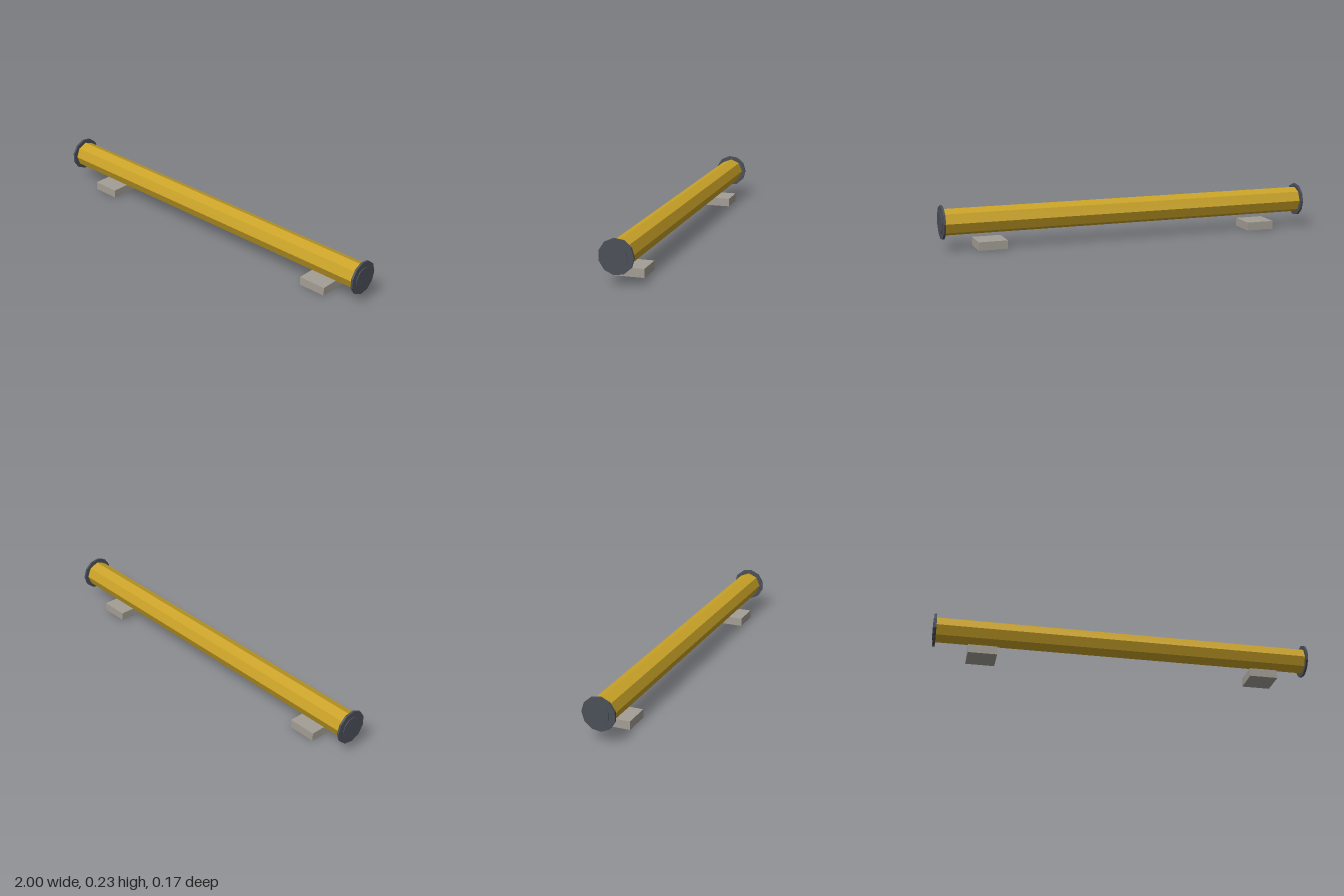
import * as THREE from 'three';

const AXIS_Y = 0.144; // height of the pipe's centre line
const AXIS_Z = 0.002;

export function createModel() {
  const pipePaint = new THREE.MeshStandardMaterial({ color: 0xc9a227 });
  const darkSteel = new THREE.MeshStandardMaterial({ color: 0x4b4f58 });
  const concrete = new THREE.MeshStandardMaterial({ color: 0xa39e95 });
  for (const m of [pipePaint, darkSteel, concrete]) m.flatShading = true;

  const model = new THREE.Group();
  model.name = 'pipeline';

  // Faceted cylinder lying along x, between x0 and x1
  function rod(name, radius, x0, x1, sides, material, parent) {
    const geo = new THREE.CylinderGeometry(radius, radius, x1 - x0, sides, 1, false, Math.PI);
    geo.rotateZ(-Math.PI / 2);
    const mesh = new THREE.Mesh(geo, material);
    mesh.name = name;
    mesh.position.set((x0 + x1) / 2, AXIS_Y, AXIS_Z);
    parent.add(mesh);
  }

  // Main pipe
  rod('pipe', 0.068, -0.99, 0.99, 8, pipePaint, model);

  for (const [side, s] of [['left', 1], ['right', -1]]) {
    // End flange with a slightly raised centre disc
    const flange = new THREE.Group();
    flange.name = side + 'EndFlange';
    const span = (a, b) => (s > 0 ? [a, b] : [-b, -a]);
    rod(side + 'FlangeRing', 0.0875, ...span(0.985, 0.996), 11, darkSteel, flange);
    rod(side + 'FlangeDisc', 0.057, ...span(0.99, 1.0), 11, darkSteel, flange);
    model.add(flange);

    // Support block below the pipe
    const block = new THREE.Mesh(new THREE.BoxGeometry(0.15, 0.044, 0.148), concrete);
    block.name = side + 'SupportBlock';
    block.position.set(s * 0.745, 0.022, AXIS_Z);
    model.add(block);
  }

  return model;
}
